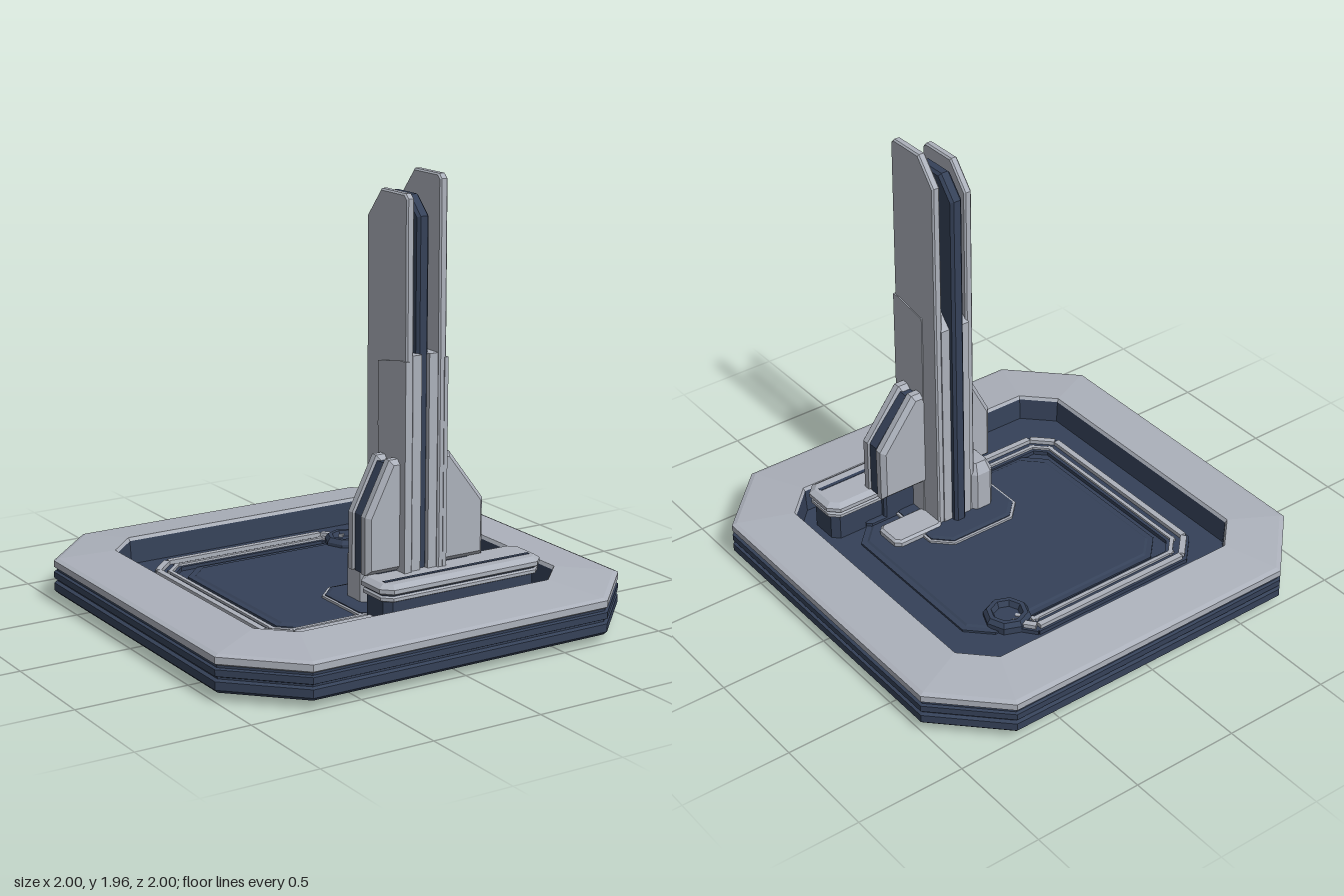
import * as THREE from 'three';

export function createModel() {
  const model = new THREE.Group();
  const grey = new THREE.MeshStandardMaterial({ color: 0xacb1bb, flatShading: true });
  grey.name = 'hull grey';
  const navy = new THREE.MeshStandardMaterial({ color: 0x354158, flatShading: true });
  navy.name = 'dark navy';
  const floor = 0.1; // height of the sunken floor

  function add(name, geometry, material, parent = model) {
    const mesh = new THREE.Mesh(geometry, material);
    mesh.name = name;
    parent.add(mesh);
    return mesh;
  }

  // Chamfered rectangle, counter-clockwise seen from above
  function ring([x0, x1, z0, z1, c], inset, y, frontInset = inset) {
    const k = Math.max(c - 0.586 * inset, 0.002);
    x0 += inset; z0 += inset; x1 -= inset; z1 -= frontInset;
    return [[x1, z1 - k], [x1, z0 + k], [x1 - k, z0], [x0 + k, z0],
      [x0, z0 + k], [x0, z1 - k], [x0 + k, z1], [x1 - k, z1]].map(([x, z]) => [x, y, z]);
  }

  // Stacks rings given as [inset, y, front inset], from the bottom up
  function loft(outline, levels, capped = true) {
    const rings = levels.map((level) => ring(outline, ...level));
    const p = [];
    for (let r = 0; r < rings.length - 1; r++) {
      for (let i = 0; i < 8; i++) {
        const j = (i + 1) % 8;
        const a = rings[r][i], b = rings[r][j], c = rings[r + 1][j], d = rings[r + 1][i];
        p.push(...a, ...b, ...c, ...a, ...c, ...d);
      }
    }
    if (capped) {
      const low = rings[0], top = rings[rings.length - 1];
      for (let i = 1; i < 7; i++) {
        p.push(...low[0], ...low[i + 1], ...low[i]);
        p.push(...top[0], ...top[i], ...top[i + 1]);
      }
    }
    const g = new THREE.BufferGeometry();
    g.setAttribute('position', new THREE.Float32BufferAttribute(p, 3));
    g.computeVertexNormals();
    return g;
  }

  function extrude(points, depth, bevel = 0) {
    const shape = new THREE.Shape(points.map(([x, y]) => new THREE.Vector2(x, y)));
    return new THREE.ExtrudeGeometry(shape, {
      depth: depth - 2 * bevel, bevelEnabled: bevel > 0, bevelSegments: 1,
      bevelSize: bevel, bevelOffset: -bevel, bevelThickness: bevel,
    }).translate(0, 0, bevel);
  }

  // Slab with a (z, y) profile between x0 and x1
  const slab = (points, x0, x1, bevel = 0) =>
    extrude(points, x1 - x0, bevel).rotateY(-Math.PI / 2).translate(x1, 0, 0);

  // Base: grooved dark plinth with a sunken floor, and a grey rim
  const base = new THREE.Group();
  base.name = 'base';
  model.add(base);
  const square = [-1, 1, -1, 1, 0.28];
  add('plinth', loft(square, [[0.38, 0], [0.2, 0.015], [0.015, 0.035], [0, 0.05], [0, 0.085],
    [0.015, 0.092], [0.015, 0.1], [0, 0.107], [0, 0.135], [0.012, 0.14], [0.012, 0.155],
    [0.258, 0.205, 0.283], [0.265, floor, 0.29]]), navy, base);
  add('rim', loft(square, [[0.012, 0.15], [0, 0.158], [0, 0.187], [0.02, 0.195], [0.25, 0.22, 0.275],
    [0.258, 0.205, 0.283]], false), grey, base);
  add('floorPanel', loft([-0.5, 0.56, -0.51, 0.45, 0.1], [[0, floor], [0, floor + 0.01],
    [0.025, floor + 0.01], [0.035, floor + 0.016]]), navy, base);

  // Conduit around the floor: stepped strip swept along a path
  const path = [[-0.1, 0.485], [-0.5, 0.485], [-0.575, 0.41], [-0.575, -0.49], [-0.49, -0.575], [0.29, -0.575], [0.35, -0.5]];
  function strip(name, width, height, material, offset = 0) {
    for (let i = 0; i < path.length - 1; i++) {
      const [ax, az] = path[i], [bx, bz] = path[i + 1];
      const dx = bx - ax, dz = bz - az, length = Math.hypot(dx, dz);
      const g = new THREE.BoxGeometry(length + width * 0.4, height, width);
      g.translate(0, floor + height / 2, offset).rotateY(-Math.atan2(dz, dx));
      add(name, g.translate((ax + bx) / 2, 0, (az + bz) / 2), material, base);
    }
  }
  strip('conduitBed', 0.1, 0.018, navy);
  strip('conduitOuterRail', 0.028, 0.036, grey, -0.025);
  strip('conduitInnerRail', 0.018, 0.028, grey, 0.026);

  // Socket at the end of the conduit
  const socketProfile = [[0.105, 0], [0.105, 0.03], [0.09, 0.05], [0.07, 0.05], [0.058, 0.025], [0, 0.025]];
  add('socket', new THREE.LatheGeometry(socketProfile.map(([r, y]) => new THREE.Vector2(r, y)), 8)
    .translate(0.36, floor, -0.46), navy, base);

  // Footing around the tower
  const footing = [-0.16, 0.32, 0.08, 0.52, 0.08];
  add('footingEdge', loft(footing, [[0, floor], [0, floor + 0.026]]), grey);
  add('footing', loft(footing, [[0.012, floor], [0.012, floor + 0.03], [0.03, floor + 0.035]]), navy);

  // Stepped deck in front of the tower
  const deck = [-0.16, 0.66, 0.42, 0.65, 0.045];
  add('deckPad', loft([-0.08, 0.47, 0.42, 0.695, 0.02], [[0, floor], [0, floor + 0.025], [0.01, floor + 0.03]]), navy);
  add('deckFoot', loft(deck, [[0.025, floor], [0.025, 0.23]]), navy);
  add('deckLower', loft(deck, [[0.02, 0.222], [0.008, 0.228], [0.008, 0.242], [0.016, 0.248]]), grey);
  add('deckSeam', loft(deck, [[0.018, 0.245], [0.018, 0.256]]), navy);
  add('deckUpper', loft(deck, [[0.012, 0.254], [0, 0.262], [0, 0.28], [0.025, 0.297]]), grey);
  add('deckStripe', new THREE.BoxGeometry(0.74, 0.006, 0.018).translate(0.25, 0.296, 0.578), navy);

  // Tower: two tall blades around a dark core
  const tower = new THREE.Group();
  tower.name = 'tower';
  model.add(tower);
  const blade = (top) => [[0.23, floor], [0.53, floor], [0.53, 0.9], [0.525, top - 0.02], [0.505, top],
    [0.33, top], [0.23, top - 0.12]];
  add('rightBlade', slab(blade(1.89), 0.018, 0.055, 0.007), grey, tower);
  add('leftBlade', slab(blade(1.96), 0.18, 0.218, 0.007), grey, tower);
  add('core', slab([[0.195, floor], [0.5, floor], [0.5, 1.79], [0.42, 1.87], [0.28, 1.87], [0.195, 1.77]], 0.09, 0.148, 0.012), navy, tower);
  const filler = [[0.225, floor], [0.52, floor], [0.52, 1.22], [0.3, 1.22], [0.225, 1.14]];
  const cover = [[0.34, floor], [0.533, floor], [0.533, 1.2], [0.49, 1.2], [0.325, 1.17], [0.325, 0.9]];
  for (const [x0, x1] of [[0.045, 0.1], [0.138, 0.19]]) add('filler', slab(filler, x0, x1), grey, tower);
  add('rightCover', slab(cover, 0.012, 0.03), grey, tower);
  add('leftCover', slab(cover, 0.205, 0.223), grey, tower);

  // Side fins: grey skins over a dark middle
  function fin(name, root, shoulder, tip) {
    const group = new THREE.Group();
    group.name = name;
    model.add(group);
    let outline = [[root, 0.3], [tip, 0.3], [tip, 0.55], [shoulder, 0.78], [root, 0.78]];
    if (tip < root) outline = outline.reverse();
    for (const z of [0.328, 0.425]) add('finSkin', extrude(outline, 0.07, 0.02).translate(0, 0, z), grey, group);
    const inner = outline.map(([x, y]) => [x === tip ? x - Math.sign(tip) * 0.008 : x, y > 0.7 ? y - 0.02 : y]);
    add('finCore', extrude(inner, 0.05).translate(0, 0, 0.387), navy, group);
  }
  fin('leftFin', 0.19, 0.27, 0.445);
  fin('rightFin', 0.05, -0.03, -0.147);

  // Feet and braces beside the tower
  add('rightBrace', loft([-0.08, 0.04, 0.21, 0.36, 0.025], [[0, floor], [0, 0.32], [0.025, 0.37]]), grey);
  add('leftBrace', loft([0.2, 0.46, 0.21, 0.37, 0.025], [[0, floor], [0, 0.135], [0.012, 0.145]]), grey);
  for (const [x0, x1] of [[-0.09, 0.04], [0.2, 0.38]]) {
    add('finFoot', loft([x0, x1, 0.42, 0.475, 0.01], [[0, floor], [0, 0.31]]), navy);
  }

  return model;
}
